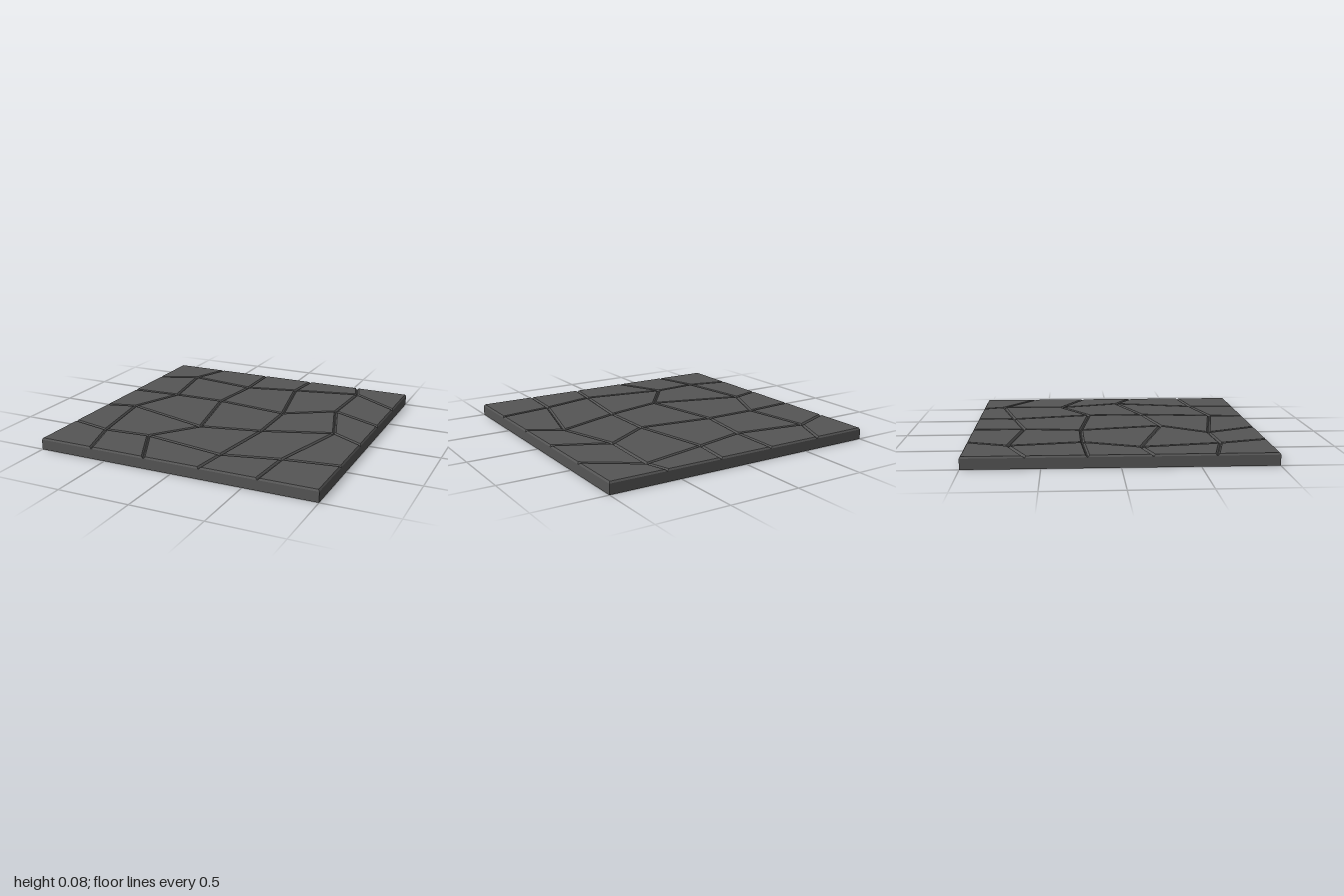
import * as THREE from 'three';

const BASE_TOP = 0.07, TOP = 0.082;

// Joints between the stones as [x, z], row by row from back to front
const JOINTS = [
  [[-1, -1], [-0.6, -1], [-0.2, -1], [0.2, -1], [0.6, -1], [1, -1]],
  [[-1, -0.6], [-0.71, -0.72], [-0.2, -0.64], [0.17, -0.73], [0.65, -0.84], [1, -0.6]],
  [[-1, -0.21], [-0.63, -0.235], [-0.25, -0.24], [0.29, -0.17], [0.63, -0.38], [1, -0.2]],
  [[-1, 0.2], [-0.785, 0.14], [-0.13, 0.335], [0.295, 0.235], [0.77, 0.065], [1, 0.2]],
  [[-1, 0.6], [-0.7, 0.67], [-0.37, 0.645], [0.23, 0.75], [0.62, 0.655], [1, 0.6]],
  [[-1, 1], [-0.6, 1], [-0.2, 1], [0.2, 1], [0.6, 1], [1, 1]],
];

// Move every edge of a polygon inward; edges on the slab border use their own inset
function insetPolygon(points, inner, border) {
  const lines = points.map(([x, z], i) => {
    const [x2, z2] = points[(i + 1) % points.length];
    const length = Math.hypot(x2 - x, z2 - z);
    const nx = (z2 - z) / length, nz = (x - x2) / length;
    const onBorder = (x === x2 && Math.abs(x) === 1) || (z === z2 && Math.abs(z) === 1);
    return [nx, nz, nx * x + nz * z + (onBorder ? border : inner)];
  });
  return lines.map(([c, d, f], i) => {
    const [a, b, e] = lines[(i + lines.length - 1) % lines.length];
    const det = a * d - b * c;
    return [(e * d - b * f) / det, (a * f - e * c) / det];
  });
}

// Stone with a flat top and sloping sides
function stoneGeometry(corners) {
  const lower = insetPolygon(corners, 0.003, 0).map(([x, z]) => [x, BASE_TOP, z]);
  const upper = insetPolygon(corners, 0.013, 0.008).map(([x, z]) => [x, TOP, z]);
  const positions = [];
  const quad = (a, b, c, d) => positions.push(...a, ...b, ...c, ...a, ...c, ...d);
  quad(...upper);
  for (let i = 0; i < 4; i++) {
    const j = (i + 1) % 4;
    quad(lower[i], lower[j], upper[j], upper[i]);
  }
  const geometry = new THREE.BufferGeometry();
  geometry.setAttribute('position', new THREE.Float32BufferAttribute(positions, 3));
  geometry.computeVertexNormals();
  return geometry;
}

export function createModel() {
  const model = new THREE.Group();
  model.name = 'stoneFloorTile';
  const stone = new THREE.MeshStandardMaterial({ color: 0x555555 });

  // Slab under the stones
  const base = new THREE.Mesh(new THREE.BoxGeometry(2, BASE_TOP, 2), stone);
  base.name = 'baseSlab';
  base.position.y = BASE_TOP / 2;
  model.add(base);

  // Irregular paving stones
  const paving = new THREE.Group();
  paving.name = 'pavingStones';
  for (let r = 0; r < 5; r++) {
    for (let c = 0; c < 5; c++) {
      const corners = [JOINTS[r][c], JOINTS[r + 1][c], JOINTS[r + 1][c + 1], JOINTS[r][c + 1]];
      const mesh = new THREE.Mesh(stoneGeometry(corners), stone);
      mesh.name = `pavingStone${r + 1}_${c + 1}`;
      paving.add(mesh);
    }
  }
  model.add(paving);
  return model;
}
